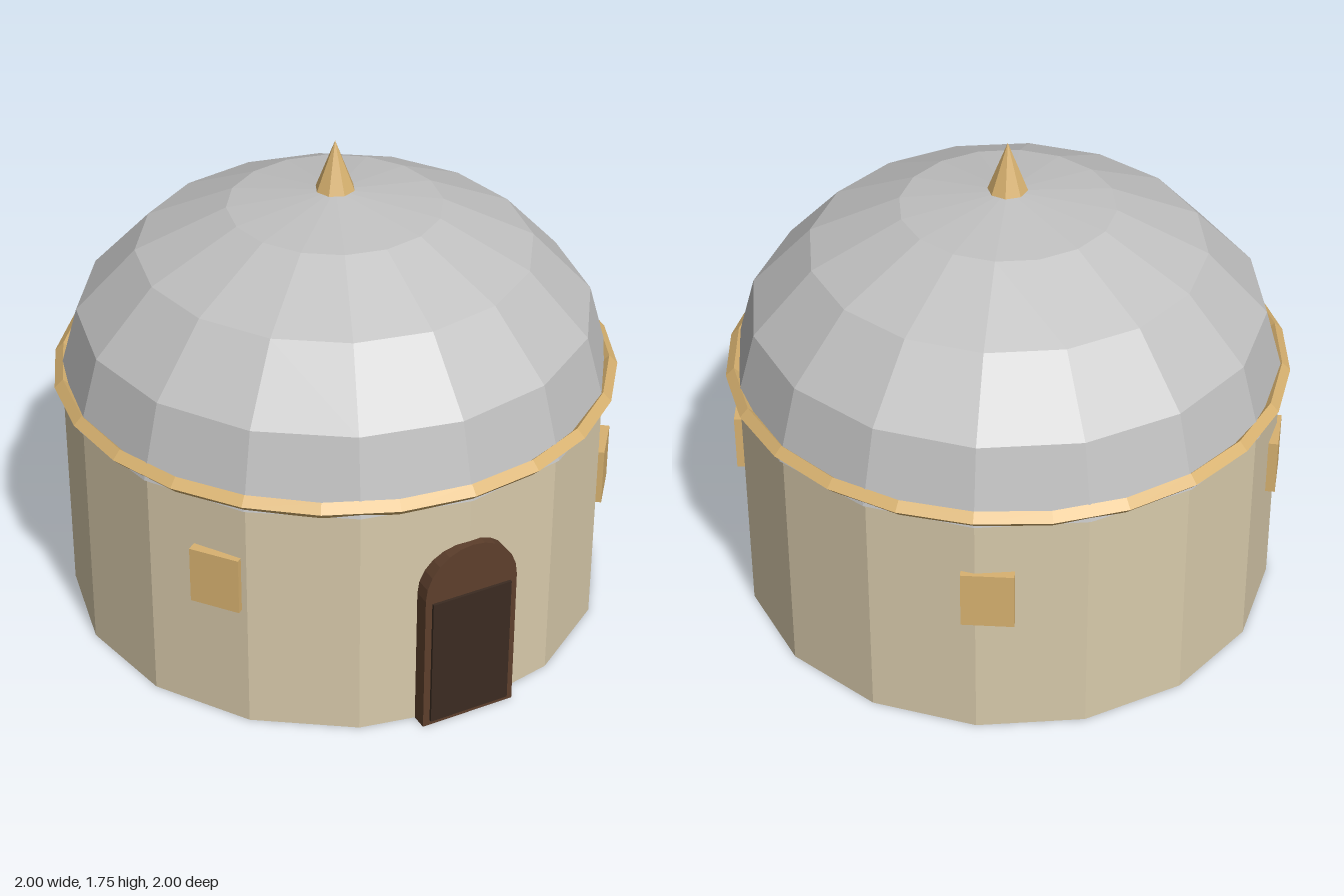
import * as THREE from 'three';

const paint = (name, color) => {
  const m = new THREE.MeshStandardMaterial({ color, flatShading: true });
  m.name = name;
  return m;
};

export function createModel() {
  const model = new THREE.Group();
  model.name = 'domedHut';

  const plaster = paint('plaster', 0xd8caab);
  const roofGrey = paint('roofGrey', 0xc0c0c0);
  const trimGold = paint('trimGold', 0xd8b270);
  const frameBrown = paint('frameBrown', 0x5d3f2c);
  const doorBrown = paint('doorBrown', 0x3b2b21);

  const add = (name, geometry, material, x = 0, y = 0, z = 0) => {
    const mesh = new THREE.Mesh(geometry, material);
    mesh.name = name;
    mesh.position.set(x, y, z);
    model.add(mesh);
    return mesh;
  };

  // Sixteen-sided drum wall
  add('wall', new THREE.CylinderGeometry(0.967, 0.967, 0.89, 16), plaster, 0, 0.445, 0);

  // Flattened faceted dome
  const dome = new THREE.SphereGeometry(0.98, 16, 4, 0, Math.PI * 2, 0, Math.PI / 2);
  dome.scale(1, 0.695 / 0.98, 1);
  add('dome', dome, roofGrey, 0, 0.87, 0);

  // Diamond-section cornice ring between wall and dome
  const ring = new THREE.TorusGeometry(0.97, 0.03, 4, 24);
  ring.rotateX(Math.PI / 2);
  add('corniceRing', ring, trimGold, 0, 0.9, 0);

  // Pointed finial
  add('finial', new THREE.ConeGeometry(0.07, 0.18, 8), trimGold, 0, 1.66, 0);

  // Arched door surround
  const arch = new THREE.Shape();
  arch.moveTo(-0.175, 0);
  arch.lineTo(0.175, 0);
  arch.lineTo(0.175, 0.527);
  arch.absarc(0, 0.527, 0.175, 0, Math.PI, false);
  arch.lineTo(-0.175, 0);
  add('doorFrame',
    new THREE.ExtrudeGeometry(arch, { depth: 0.08, bevelEnabled: false, curveSegments: 6 }),
    frameBrown, 0, 0, 0.91);

  // Door leaf, slightly proud of the surround
  add('doorLeaf', new THREE.BoxGeometry(0.3, 0.49, 0.04), doorBrown, 0, 0.265, 0.98);

  // Window blocks set around the wall
  for (const angle of [0.9, -0.9, 2.4, -2.4]) {
    const r = 0.96;
    const block = add('window', new THREE.BoxGeometry(0.18, 0.21, 0.04), trimGold,
      r * Math.sin(angle), 0.565, r * Math.cos(angle));
    block.rotation.y = angle;
  }

  return model;
}
